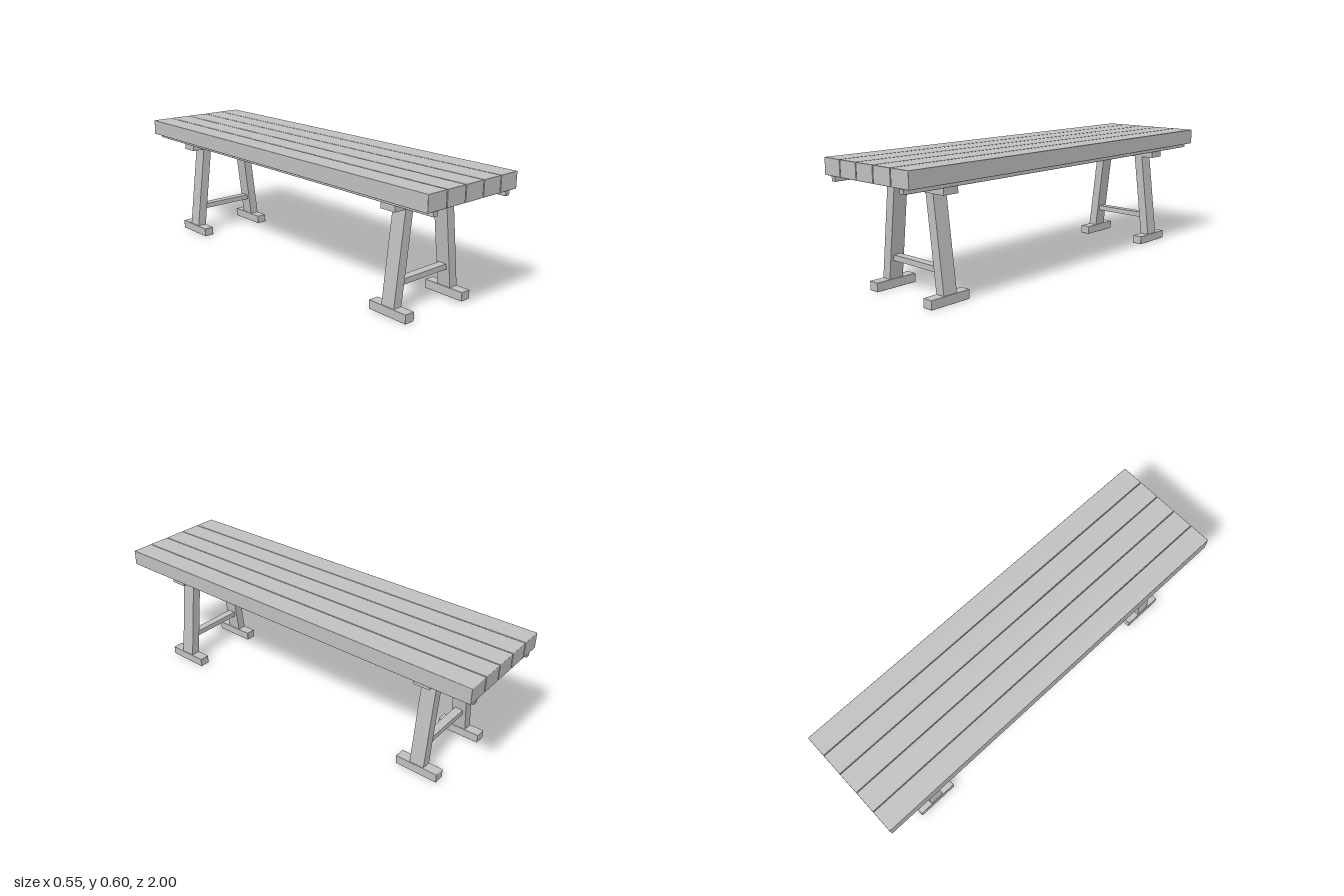
import * as THREE from 'three';
import { RoundedBoxGeometry } from 'three/addons/geometries/RoundedBoxGeometry.js';

export function createModel() {
  const bench = new THREE.Group();
  bench.name = 'bench';
  const grey = new THREE.MeshStandardMaterial({ color: 0xbfbfbf });
  grey.name = 'plain grey';

  const add = (parent, name, geometry, x, y, z) => {
    const mesh = new THREE.Mesh(geometry, grey);
    mesh.name = name;
    mesh.position.set(x, y, z);
    parent.add(mesh);
    return mesh;
  };
  // softened timber and plain timber
  const soft = (w, h, d) => new RoundedBoxGeometry(w, h, d, 1, 0.003);
  const box = (w, h, d) => new THREE.BoxGeometry(w, h, d);

  // five top planks with narrow gaps
  for (let i = -2; i <= 2; i++) {
    add(bench, 'plank', soft(0.1085, 0.076, 2), i * 0.1113, 0.563, 0);
  }

  // long runners under the outer planks
  for (const side of [-1, 1]) {
    add(bench, 'runner', soft(0.026, 0.0235, 1.99), side * 0.225, 0.5135, 0);
  }

  // leg outline leaning inwards, extruded along z
  const legShape = (side) => {
    const points = [[0.157, 0.04], [0.2035, 0.04], [0.15, 0.47], [0.1035, 0.47]];
    return new THREE.Shape(points.map(([x, y]) => new THREE.Vector2(side * x, y)));
  };

  // one trestle near each end
  for (const end of [-1, 1]) {
    const trestle = new THREE.Group();
    trestle.name = end > 0 ? 'frontTrestle' : 'backTrestle';
    trestle.position.z = end * 0.74;
    bench.add(trestle);

    add(trestle, 'crossbar', box(0.438, 0.041, 0.08), 0, 0.4885, 0);
    add(trestle, 'spacer', box(0.424, 0.017, 0.078), 0, 0.517, 0);
    add(trestle, 'stretcher', box(0.3, 0.026, 0.04), 0, 0.142, 0);

    for (const side of [-1, 1]) {
      const leg = new THREE.ExtrudeGeometry(legShape(side), { depth: 0.072, bevelEnabled: false });
      add(trestle, 'leg', leg, 0, 0, -0.036);
      add(trestle, 'foot', soft(0.053, 0.043, 0.213), side * 0.1805, 0.0215, 0);
    }
  }
  return bench;
}
